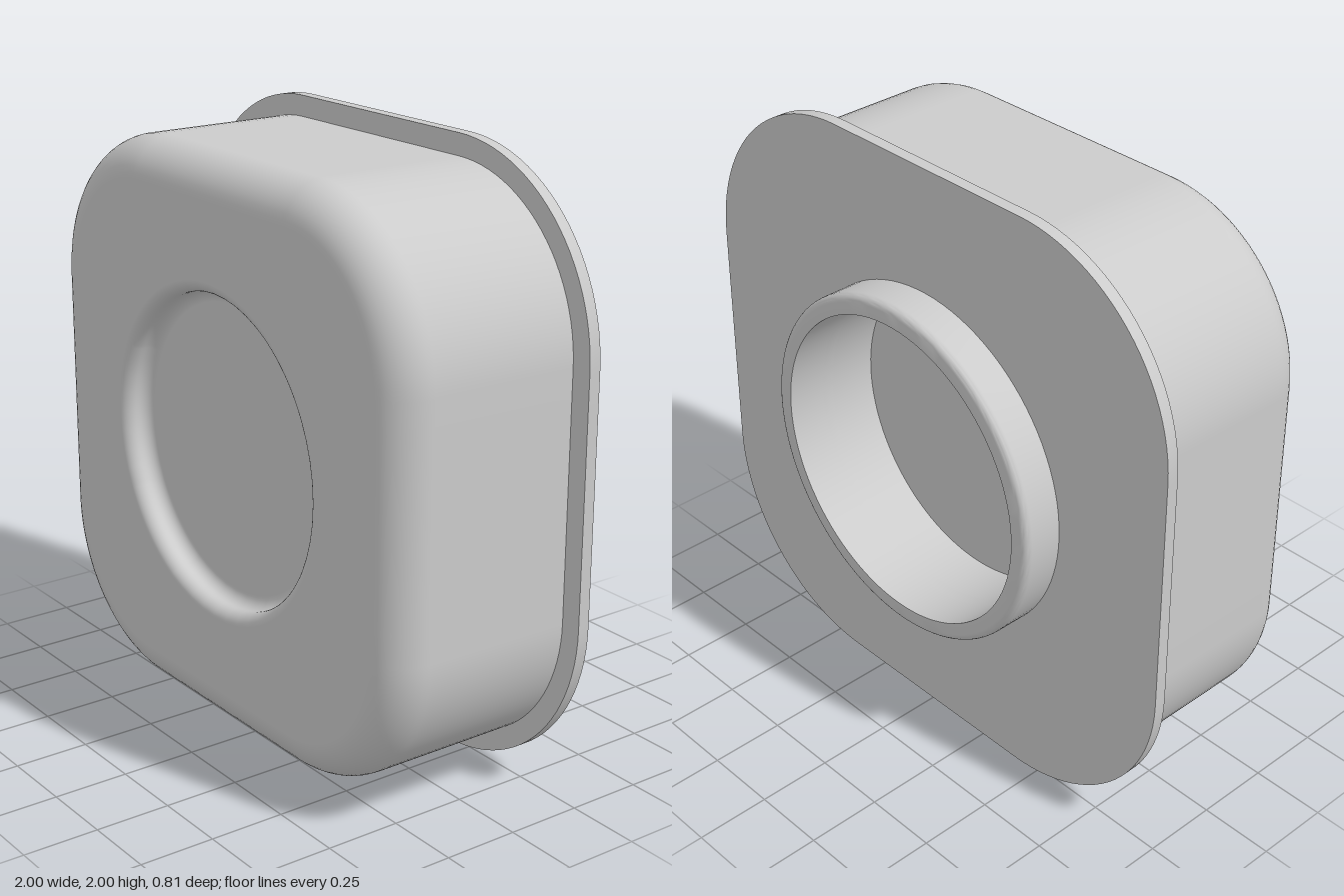
import * as THREE from 'three';
import { toCreasedNormals } from 'three/addons/utils/BufferGeometryUtils.js';

const BACK = -0.41, PLATE_BACK = -0.275, PLATE_FRONT = -0.235, FRONT = 0.405;
const BORE = 0.52, CORNER = 0.4; // bore radius, corner arc centre offset
const ARC = 24; // segments per corner

// Rounded square outline around the origin, counterclockwise seen from +z
function roundedSquare(half) {
  const r = half - CORNER, pts = [];
  for (let q = 0; q < 4; q++) {
    const mid = (q + 0.5) * Math.PI / 2;
    const cx = CORNER * Math.SQRT2 * Math.cos(mid), cy = CORNER * Math.SQRT2 * Math.sin(mid);
    for (let i = 0; i <= ARC; i++) {
      const a = (q + i / ARC) * Math.PI / 2;
      pts.push(new THREE.Vector2(cx + r * Math.cos(a), cy + r * Math.sin(a)));
    }
    // extra points along the straight side
    const a = (q + 1) * Math.PI / 2;
    for (let i = 1; i < 8; i++) {
      const t = CORNER * (1 - i / 4);
      pts.push(new THREE.Vector2(
        half * Math.cos(a) + t * Math.sin(a),
        half * Math.sin(a) - t * Math.cos(a)));
    }
  }
  return pts;
}

// Skin through closed loops of equal point count, ordered back to front
function skin(loops) {
  const n = loops[0].pts.length, pos = [], index = [];
  loops.forEach(({ pts, z }) => pts.forEach(p => pos.push(p.x, p.y, z)));
  for (let i = 0; i < loops.length - 1; i++) {
    for (let j = 0; j < n; j++) {
      const a = i * n + j, b = i * n + (j + 1) % n;
      index.push(a, b, b + n);
      if (i < loops.length - 2) index.push(a, b + n, a + n);
    }
  }
  const g = new THREE.BufferGeometry();
  g.setAttribute('position', new THREE.Float32BufferAttribute(pos, 3));
  g.setIndex(index);
  g.computeVertexNormals();
  return g;
}

// Body with rounded front edge and a soft-edged round dish in its face
function bodyGeometry() {
  const half = 0.93, fillet = 0.13, loops = [];
  const square = (h, z) => loops.push({ pts: roundedSquare(h), z });
  const base = roundedSquare(half - fillet);
  const circle = (r, z) => loops.push({ pts: base.map(p => p.clone().setLength(r)), z });

  square(half, PLATE_FRONT);
  for (let i = 0; i <= 10; i++) {
    const a = i / 10 * Math.PI / 2;
    square(half - fillet * (1 - Math.cos(a)), FRONT - fillet * (1 - Math.sin(a)));
  }
  // dish wall: convex lip, then concave foot
  const lip = 0.04, wall = 0.51, depth = 0.09;
  for (let i = 0; i <= 8; i++) {
    const a = i / 8 * Math.PI / 2;
    circle(wall + lip * (1 - Math.sin(a)), FRONT - lip * (1 - Math.cos(a)));
  }
  for (let i = 0; i <= 8; i++) {
    const a = i / 8 * Math.PI / 2;
    circle(wall - lip * (1 - Math.cos(a)), FRONT - depth + lip * (1 - Math.sin(a)));
  }
  circle(0, FRONT - depth);
  return skin(loops);
}

// Thin mounting plate with the bore cut through
function plateGeometry() {
  const shape = new THREE.Shape(roundedSquare(1));
  shape.holes.push(new THREE.Path().absarc(0, 0, BORE, 0, Math.PI * 2, true));
  const g = new THREE.ExtrudeGeometry(shape, {
    depth: PLATE_FRONT - PLATE_BACK, bevelEnabled: false, curveSegments: 48 });
  g.translate(0, 0, PLATE_BACK);
  return toCreasedNormals(g, 0.6);
}

// Rear collar with its blind bore, turned around z
function collarGeometry() {
  const outer = 0.585, r = 0.025, floor = -0.07;
  const profile = [[0, floor], [BORE, floor], [BORE, BACK]];
  for (let i = 0; i <= 5; i++) {
    const a = i / 5 * Math.PI / 2;
    profile.push([outer - r + r * Math.sin(a), BACK + r - r * Math.cos(a)]);
  }
  profile.push([outer, PLATE_BACK]);
  const g = new THREE.LatheGeometry(profile.map(p => new THREE.Vector2(...p)), 96);
  g.rotateX(Math.PI / 2);
  return toCreasedNormals(g, 0.6);
}

export function createModel() {
  const group = new THREE.Group();
  group.name = 'roundedHousing';
  const material = new THREE.MeshStandardMaterial({ color: 0xcccccc });
  const parts = { body: bodyGeometry(), mountingPlate: plateGeometry(), rearCollar: collarGeometry() };
  for (const [name, geometry] of Object.entries(parts)) {
    const mesh = new THREE.Mesh(geometry, material);
    mesh.name = name;
    mesh.position.y = 1;
    group.add(mesh);
  }
  return group;
}
